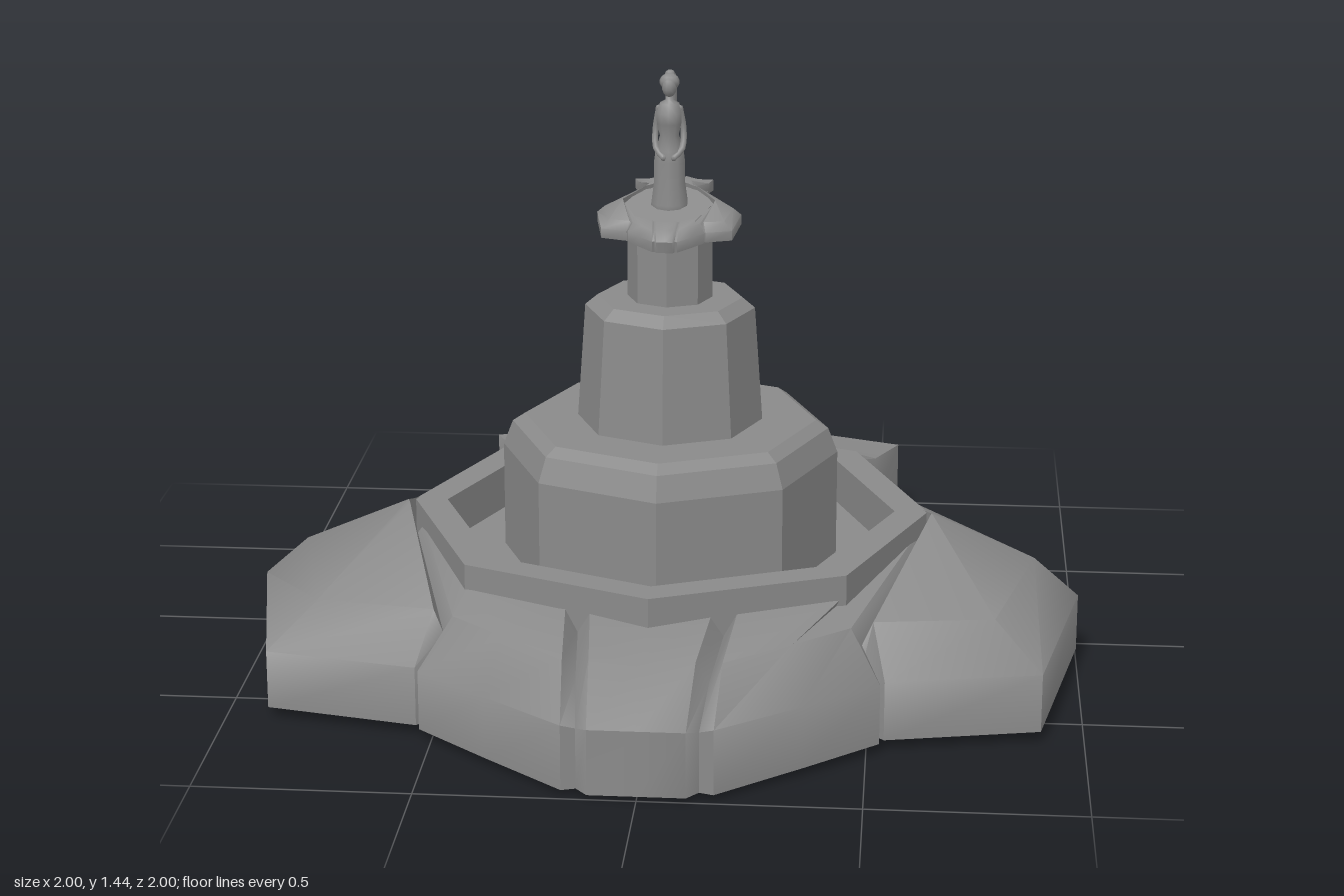
import * as THREE from 'three';
import { toCreasedNormals, mergeVertices } from 'three/addons/utils/BufferGeometryUtils.js';

const CZ = 0.06; // fountain axis
const STONE = 0x8a8a8a;
const mat = new THREE.MeshStandardMaterial({ color: STONE });
const flatMat = new THREE.MeshStandardMaterial({ color: STONE, flatShading: true });

function add(parent, name, geometry, material = mat) {
  const mesh = new THREE.Mesh(geometry, material);
  mesh.name = name;
  parent.add(mesh);
}

// Half plan of the scallop, front to back: x, z of the outer edge, crease and inner edge
const plan = [
  [0, 1, 0, .84, 0, .62],
  [.11, 1, .12, .84, .14, .62],
  [.17, .98, .18, .84, .20, .58],
  [.36, .835, .33, .72, .44, .49],
  [.53, .70, .46, .61, .60, .12],
  [.54, .68, .51, .57, .635, .11],
  [.90, .61, .79, .53, .64, .10],
  [1, .10, .89, .12, .635, .08],
  [.67, -.25, .62, -.18, .53, -.16],
  [.34, -.60, .29, -.52, .36, -.40],
  [.49, -.77, .27, -.60, .30, -.43],
  [.55, -.89, .23, -.64, .25, -.47],
  [.37, -.89, .22, -.66, .22, -.49],
  [.34, -.90, .20, -.66, .20, -.50],
  [.17, -.99, .12, -.70, .14, -.50],
  [.08, -1, .05, -.70, .07, -.50],
  [0, -1, 0, -.70, 0, -.50],
];
// Plan row before each groove, and how far the groove pulls in the outer edge
const grooves = { 1: .98, 4: .9, 14: .99 };

// Underside rises to the back, with a low point on each flare
function lowerEdgeY(x, z) {
  if (z < -.85) return Math.min(.09, .3 * Math.abs(x - .38));
  if (z > .6) return .03 - .04 * (z - .6);
  return Math.min(.1, .03 + .1 * Math.max(0, .1 - z));
}

// One cross-section, from the lower edge up to the inner edge
function section([ox, oz, cx, cz, ix, iz], dip = 0) {
  const back = Math.max(0, -oz);
  return [
    [ox, lowerEdgeY(ox, oz), oz < -.9 ? oz * .96 : oz],
    [ox, (back > .7 ? .21 : .17 + .13 * back) - dip * .2, oz],
    [cx, .272 - .085 * Math.min(0, cz) - dip, cz],
    [ix, .32 - .035 * iz + 1.4 * Math.max(0, ix - .6) - dip, iz],
  ];
}

// Closed scallop body; the hollow inside the inner edge drops to floorY
function scallop(floorY, grooveDepth) {
  const half = [];
  plan.forEach((row, i) => {
    half.push(section(row));
    if (grooves[i]) {
      const mid = row.map((v, k) => (v + plan[i + 1][k]) / 2 * (k < 2 ? grooves[i] : 1));
      half.push(section(mid, grooveDepth));
    }
  });
  const mirrored = half.slice(1, -1).reverse().map(s => s.map(([x, y, z]) => [-x, y, z]));
  const ring = [...half, ...mirrored].map(s => [...s, [s[3][0], floorY, s[3][2]]]);
  const n = ring.length, levels = 5, index = [];
  const bottom = n * levels, top = bottom + 1;
  for (let i = 0; i < n; i++) {
    const a = i * levels, b = ((i + 1) % n) * levels;
    for (let j = 0; j < levels - 1; j++) {
      index.push(a + j, b + j, b + j + 1, a + j, b + j + 1, a + j + 1);
    }
    index.push(b, a, bottom, a + levels - 1, b + levels - 1, top);
  }
  const points = [...ring.flat(), [0, .03, CZ], [0, floorY, CZ]];
  const geo = new THREE.BufferGeometry();
  geo.setAttribute('position', new THREE.Float32BufferAttribute(points.flat(), 3));
  geo.setIndex(index);
  return toCreasedNormals(geo, 0.85);
}

// Eight-sided turned part on the fountain axis, corners on x and z
function octagon(parent, name, profile) {
  const geo = new THREE.LatheGeometry(profile.map(p => new THREE.Vector2(...p)), 8);
  add(parent, name, geo.translate(0, 0, CZ), flatMat);
}

function tube(parent, name, points, radius) {
  const path = new THREE.CatmullRomCurve3(points.map(p => new THREE.Vector3(...p)));
  add(parent, name, new THREE.TubeGeometry(path, 8, radius, 6));
  for (const p of [points[0], points[points.length - 1]]) {
    add(parent, name + 'End', new THREE.SphereGeometry(radius, 6, 4).translate(...p));
  }
}

function ball(parent, name, radii, position) {
  add(parent, name, new THREE.SphereGeometry(1, 10, 7).scale(...radii).translate(...position));
}

function createStatue() {
  const statue = new THREE.Group();
  statue.name = 'statue';
  // Draped body, leaning forward at the chest
  const profile = [[0, 1.09], [.046, 1.09], [.045, 1.13], [.038, 1.18], [.038, 1.23], [.034, 1.26],
    [.023, 1.295], [.030, 1.325], [.031, 1.35], [.024, 1.372], [.010, 1.38], [.009, 1.40]];
  const lathe = new THREE.LatheGeometry(profile.map(p => new THREE.Vector2(...p)), 10);
  lathe.deleteAttribute('uv');
  lathe.deleteAttribute('normal');
  const body = mergeVertices(lathe);
  const pos = body.attributes.position;
  for (let i = 0; i < pos.count; i++) {
    const lean = .010 * Math.exp(-Math.pow((pos.getY(i) - 1.335) / .03, 2));
    pos.setZ(i, pos.getZ(i) * .9 + .073 + lean);
  }
  body.computeVertexNormals();
  add(statue, 'drapedBody', body);
  ball(statue, 'head', [.018, .025, .021], [0, 1.412, .078]);
  ball(statue, 'hair', [.024, .021, .023], [0, 1.422, .070]);
  ball(statue, 'hairKnot', [.012, .010, .012], [0, 1.438, .055]);
  tube(statue, 'hangingHair', [[0, 1.425, .055], [0, 1.432, .035], [0, 1.41, .022], [0, 1.36, .017], [0, 1.315, .016]], .013);
  for (const s of [-1, 1]) {
    tube(statue, 'arm', [[s * .025, 1.36, .075], [s * .033, 1.31, .07], [s * .031, 1.265, .085], [s * .012, 1.245, .1]], .008);
  }
  return statue;
}

export function createModel() {
  const model = new THREE.Group();
  model.name = 'fountain';

  add(model, 'scallopBase', scallop(.2, .05));

  // Basin with sunken floor, then the stacked tiers
  octagon(model, 'basin', [[0, .035], [.63, .035], [.63, .36], [.55, .36], [.55, .25], [0, .25]]);
  octagon(model, 'lowerTier', [[.408, .24], [.408, .51], [.385, .57], [.355, .59], [0, .59]]);
  octagon(model, 'middleTier', [[.225, .585], [.205, .87], [.175, .895], [0, .895]]);
  octagon(model, 'column', [[.102, .89], [.102, 1.1], [0, 1.1]]);

  // Small tilted scallop dish carrying the statue
  const dish = new THREE.Group();
  add(dish, 'upperScallop', scallop(.28, .02));
  dish.name = 'upperDish';
  dish.scale.set(.172, .18, .165);
  dish.rotation.x = .23;
  dish.position.set(0, 1.08, .06);
  model.add(dish);

  model.add(createStatue());
  return model;
}
